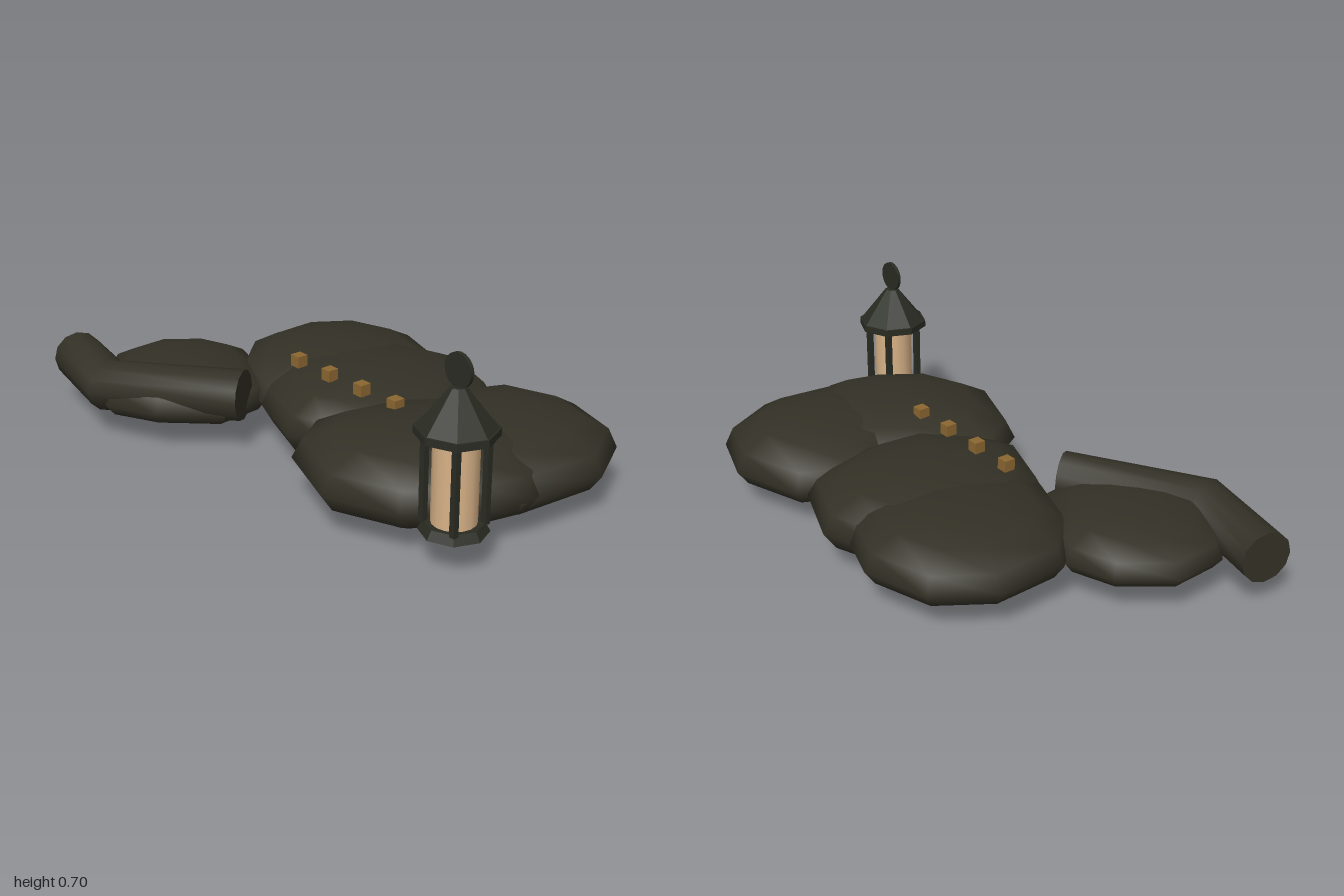
import * as THREE from 'three';

const stone = new THREE.MeshStandardMaterial({ color: 0x333126 });
stone.name = 'darkStone';
const iron = new THREE.MeshStandardMaterial({ color: 0x2a2c23 });
iron.name = 'lanternIron';
const glass = new THREE.MeshStandardMaterial({ color: 0xd9b388 });
glass.name = 'warmGlass';
const brass = new THREE.MeshStandardMaterial({ color: 0x8c6732 });
brass.name = 'brass';

function add(parent, name, geometry, material, x = 0, y = 0, z = 0) {
  const mesh = new THREE.Mesh(geometry, material);
  mesh.name = name;
  mesh.position.set(x, y, z);
  parent.add(mesh);
  return mesh;
}

// Skin a list of equal-length closed loops, capped by a point at each end
function skin(loops, start, end) {
  const n = loops[0].length, points = [start, ...loops.flat(), end], index = [];
  const at = (k, i) => 1 + k * n + (i % n);
  for (let i = 0; i < n; i++) {
    index.push(0, at(0, i + 1), at(0, i));
    for (let k = 0; k < loops.length - 1; k++) {
      index.push(at(k, i), at(k, i + 1), at(k + 1, i));
      index.push(at(k, i + 1), at(k + 1, i + 1), at(k + 1, i));
    }
    index.push(at(loops.length - 1, i), at(loops.length - 1, i + 1), points.length - 1);
  }
  const g = new THREE.BufferGeometry();
  g.setAttribute('position', new THREE.Float32BufferAttribute(points.flat(), 3));
  g.setIndex(index);
  g.computeVertexNormals();
  return g;
}

// Flattened boulder: plan outline (x, z) shrunk towards its centre above and below the rim
const PROFILE = [[0.34, -0.94], [0.65, -0.77], [0.9, -0.42], [1, 0], [0.92, 0.46], [0.68, 0.82], [0.36, 0.96]];
function boulder(outline, bottom, rim, top) {
  const cx = outline.reduce((s, p) => s + p[0], 0) / outline.length;
  const cz = outline.reduce((s, p) => s + p[1], 0) / outline.length;
  const loops = PROFILE.map(([r, h]) => {
    const y = rim + h * (h > 0 ? top - rim : rim - bottom);
    return outline.map(([x, z]) => [cx + (x - cx) * r, y, cz + (z - cz) * r]);
  });
  return skin(loops, [cx, bottom, cz], [cx, top, cz]);
}

// Bent log: octagonal sections along a path, mitred at the bend
function bentLog(path, radius) {
  const sides = 12;
  const dirs = path.slice(1).map((p, i) => p.clone().sub(path[i]).normalize());
  const loops = path.map((p, i) => {
    const a = dirs[Math.max(i - 1, 0)], b = dirs[Math.min(i, dirs.length - 1)];
    const t = a.clone().add(b).normalize();
    const side = new THREE.Vector3(-t.z, 0, t.x).normalize().multiplyScalar(1 / t.dot(a));
    const loop = [];
    for (let k = 0; k < sides; k++) {
      const u = (k / sides) * Math.PI * 2;
      const v = p.clone().addScaledVector(side, radius * Math.cos(u));
      loop.push([v.x, v.y + radius * Math.sin(u), v.z]);
    }
    return loop;
  });
  // Repeat the end loops so the flat cut ends keep sharp edges
  const first = path[0].toArray(), last = path[path.length - 1].toArray();
  return skin([loops[0], ...loops, loops[loops.length - 1]], first, last);
}

function createLantern() {
  const lantern = new THREE.Group();
  lantern.name = 'lantern';
  const flat = (top, bottom, h) => new THREE.CylinderGeometry(top, bottom, h, 8).toNonIndexed();
  const faceted = (g) => { g.computeVertexNormals(); return g; };
  add(lantern, 'lanternBase', faceted(flat(0.095, 0.112, 0.03)), iron, 0, 0.135, 0);
  add(lantern, 'lanternGlass', new THREE.CylinderGeometry(0.073, 0.073, 0.295, 16), glass, 0, 0.297, 0);
  // Four corner posts
  for (const sx of [-1, 1]) for (const sz of [-1, 1]) {
    add(lantern, 'lanternPost', new THREE.BoxGeometry(0.02, 0.3, 0.02), iron, sx * 0.067, 0.295, sz * 0.067);
  }
  add(lantern, 'roofBrim', faceted(flat(0.132, 0.132, 0.025)), iron, 0, 0.453, 0);
  add(lantern, 'roof', faceted(flat(0.025, 0.125, 0.127)), iron, 0, 0.529, 0);
  // Upright disc on the roof
  const finial = add(lantern, 'finialDisc', new THREE.CylinderGeometry(0.055, 0.055, 0.013, 20), iron, 0, 0.645, 0);
  finial.rotation.x = Math.PI / 2;
  lantern.position.set(0.865, 0, 0.25);
  return lantern;
}

export function createModel() {
  const model = new THREE.Group();
  model.name = 'rockyLedgeWithLantern';

  // Overlapping boulders: name, bottom, rim, top, plan outline
  const boulders = [
    ['backRightBoulder', 0.03, 0.16, 0.29, [[-0.24, -0.62], [-0.48, -0.545], [-0.61, -0.35], [-0.6, -0.08],
      [-0.45, 0.08], [-0.2, 0.17], [0.04, 0.03], [0.12, -0.25], [0, -0.54]]],
    ['middleBoulder', 0, 0.16, 0.295, [[0.04, -0.6], [-0.2, -0.51], [-0.36, -0.25], [-0.34, 0.04], [-0.18, 0.18],
      [0.08, 0.275], [0.2, 0.22], [0.4, 0.02], [0.42, -0.25], [0.31, -0.5]]],
    ['backLeftBoulder', 0.02, 0.15, 0.3, [[0.62, -0.61], [0.35, -0.52], [0.25, -0.3], [0.3, -0.02], [0.45, 0.15],
      [0.7, 0.18], [0.93, 0.02], [0.965, -0.32], [0.85, -0.535]]],
    ['frontLeftBoulder', 0.015, 0.16, 0.31, [[0.5, 0.47], [0.75, 0.37], [0.9, 0.15], [0.945, -0.03], [0.85, -0.25],
      [0.6, -0.36], [0.36, -0.3], [0.2, -0.08], [0.13, 0.22], [0.22, 0.365]]],
    ['frontRightBoulder', 0.05, 0.15, 0.26, [[-0.88, 0.17], [-0.87, 0.37], [-0.74, 0.5], [-0.55, 0.6], [-0.37, 0.51],
      [-0.2, 0.33], [-0.22, 0.13], [-0.4, 0], [-0.58, -0.06], [-0.75, 0]]],
  ];
  for (const [name, bottom, rim, top, outline] of boulders) {
    // Wind every outline the same way so the faces point outwards
    const area = outline.reduce((s, [x, z], i) => {
      const [x2, z2] = outline[(i + 1) % outline.length];
      return s + x * z2 - x2 * z;
    }, 0);
    const loop = area > 0 ? outline.slice().reverse() : outline;
    add(model, name, boulder(loop, bottom, rim, top), stone);
  }

  // Bent log along the front
  const path = [[-0.98, 0.18, 0.455], [-0.63, 0.19, 0.535], [-0.2, 0.21, 0.245]];
  const log = bentLog(path.map((p) => new THREE.Vector3(...p)), 0.093);
  const logMaterial = stone.clone();
  logMaterial.name = 'log';
  logMaterial.side = THREE.DoubleSide;
  add(model, 'bentLog', log, logMaterial);

  // Row of small blocks on top
  for (let i = 0; i < 4; i++) {
    add(model, 'brassBlock', new THREE.BoxGeometry(0.042, 0.042, 0.042), brass, -0.145 + i * 0.17, 0.307, 0.035);
  }

  model.add(createLantern());
  return model;
}
